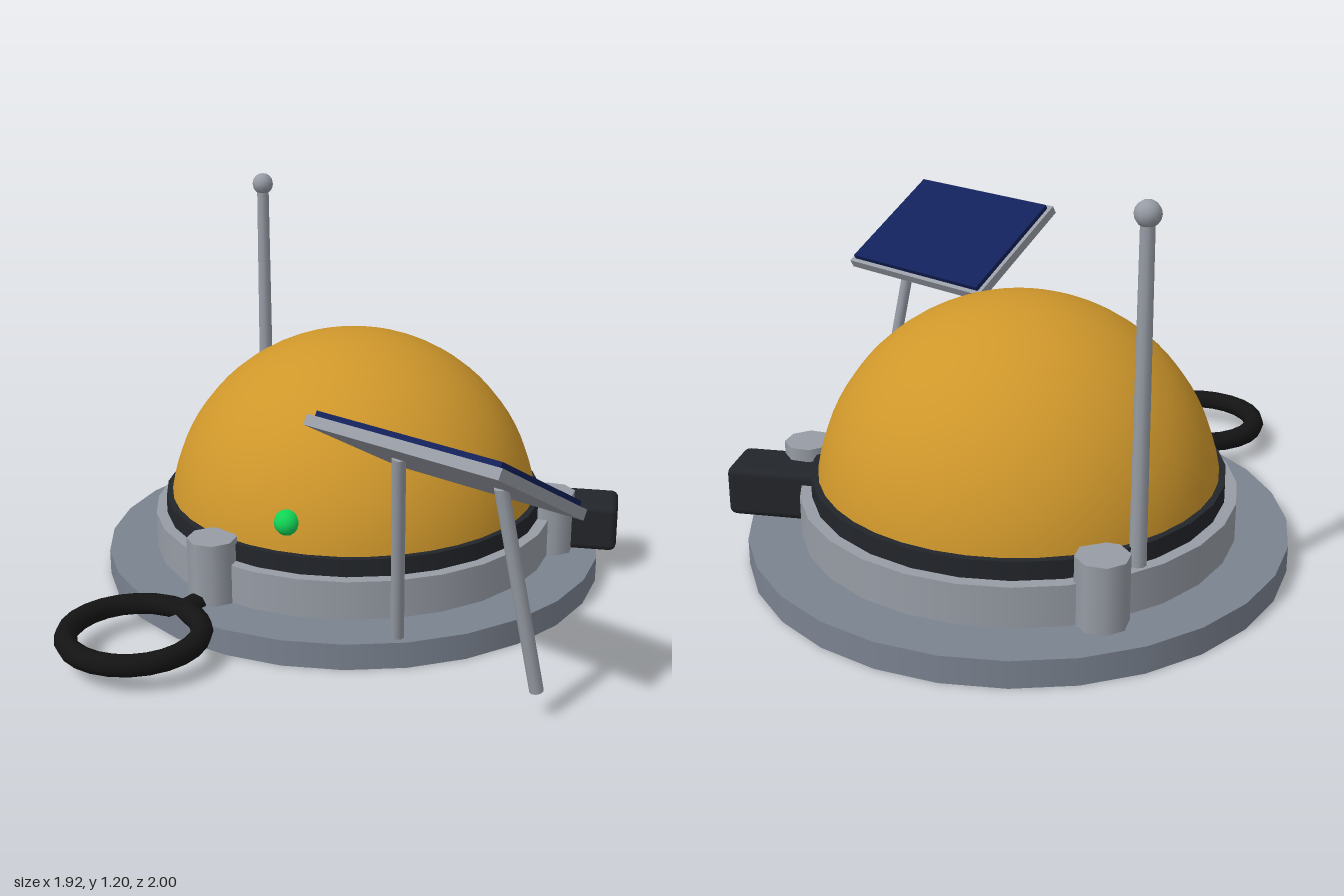
import * as THREE from 'three';
import { RoundedBoxGeometry } from 'three/addons/geometries/RoundedBoxGeometry.js';

const paint = (color) => new THREE.MeshStandardMaterial({ color });
const steel = paint(0x7b8390), lightSteel = paint(0x979ca5), gold = paint(0xcf972b);
const dark = paint(0x22252a), black = paint(0x141414), navy = paint(0x12215a), green = paint(0x12d455);

function add(parent, name, geometry, material, x = 0, y = 0, z = 0) {
  const mesh = new THREE.Mesh(geometry, material);
  mesh.name = name;
  mesh.position.set(x, y, z);
  parent.add(mesh);
  return mesh;
}

// Upright cylinder between two heights
function drum(parent, name, rTop, rBottom, y0, y1, sides, material, x = 0, z = 0) {
  const geometry = new THREE.CylinderGeometry(rTop, rBottom, y1 - y0, sides);
  return add(parent, name, geometry, material, x, (y0 + y1) / 2, z);
}

// Round rod between two points
function rod(parent, name, from, to, r0, r1, sides, material) {
  const a = new THREE.Vector3(...from), b = new THREE.Vector3(...to);
  const dir = b.clone().sub(a);
  const mesh = add(parent, name, new THREE.CylinderGeometry(r1, r0, dir.length(), sides), material);
  mesh.position.copy(a).add(b).multiplyScalar(0.5);
  mesh.quaternion.setFromUnitVectors(new THREE.Vector3(0, 1, 0), dir.normalize());
  return mesh;
}

export function createModel() {
  const model = new THREE.Group();
  model.name = 'domeStation';

  // Round body: everything here is centred on the dome axis
  const body = new THREE.Group();
  body.name = 'body';
  body.position.set(-0.157, 0, -0.195);
  model.add(body);
  drum(body, 'base', 0.805, 0.805, 0, 0.08, 28, steel);
  drum(body, 'step', 0.65, 0.65, 0.08, 0.2, 28, lightSteel);
  drum(body, 'seal', 0.615, 0.615, 0.2, 0.255, 28, dark);
  add(body, 'dome', new THREE.SphereGeometry(0.6, 40, 20, 0, Math.PI * 2, 0, Math.PI / 2), gold, 0, 0.172, 0);

  // Three clamp posts around the step
  for (let i = 0; i < 3; i++) {
    const a = (i * Math.PI * 2) / 3;
    drum(body, 'clampPost', 0.075, 0.075, 0.08, 0.275, 8, lightSteel, Math.sin(a) * 0.65, Math.cos(a) * 0.65);
  }

  // Status lamp set in the dome
  add(body, 'lamp', new THREE.SphereGeometry(0.04, 14, 10), green, 0.197, 0.338, 0.53);

  // Antenna
  drum(body, 'antennaMast', 0.02, 0.025, 0.2, 1.16, 10, lightSteel, -0.58, -0.193);
  add(body, 'antennaTip', new THREE.SphereGeometry(0.036, 12, 8), lightSteel, -0.58, 1.16, -0.193);

  // Equipment box
  const box = add(model, 'equipmentBox', new RoundedBoxGeometry(0.36, 0.155, 0.17, 2, 0.022), dark, 0.397, 0.158, -0.6);
  box.rotation.y = Math.PI / 6;

  // Pull ring lying flat in front, with its link
  const ring = add(model, 'pullRing', new THREE.TorusGeometry(0.194, 0.033, 8, 24), black, -0.157, 0.08, 0.772);
  ring.rotation.x = Math.PI / 2;
  rod(model, 'ringLink', [-0.157, 0.085, 0.48], [-0.157, 0.085, 0.6], 0.033, 0.028, 8, black);

  // Tilted solar panel, front edge raised
  const panel = new THREE.Group();
  panel.name = 'solarPanel';
  panel.position.set(0.653, 0.678, 0.39);
  panel.rotation.x = -Math.PI / 6;
  model.add(panel);
  add(panel, 'panelFrame', new THREE.BoxGeometry(0.615, 0.03, 0.45), lightSteel);
  add(panel, 'panelCells', new THREE.BoxGeometry(0.585, 0.018, 0.42), navy, 0, 0.022, 0);

  // Splayed panel legs
  for (const side of [-1, 1]) {
    rod(model, 'panelLeg', [0.665 + side * 0.237, 0.08, 0.297], [0.665 + side * 0.165, 0.665, 0.388], 0.02, 0.02, 10, lightSteel);
  }
  return model;
}
